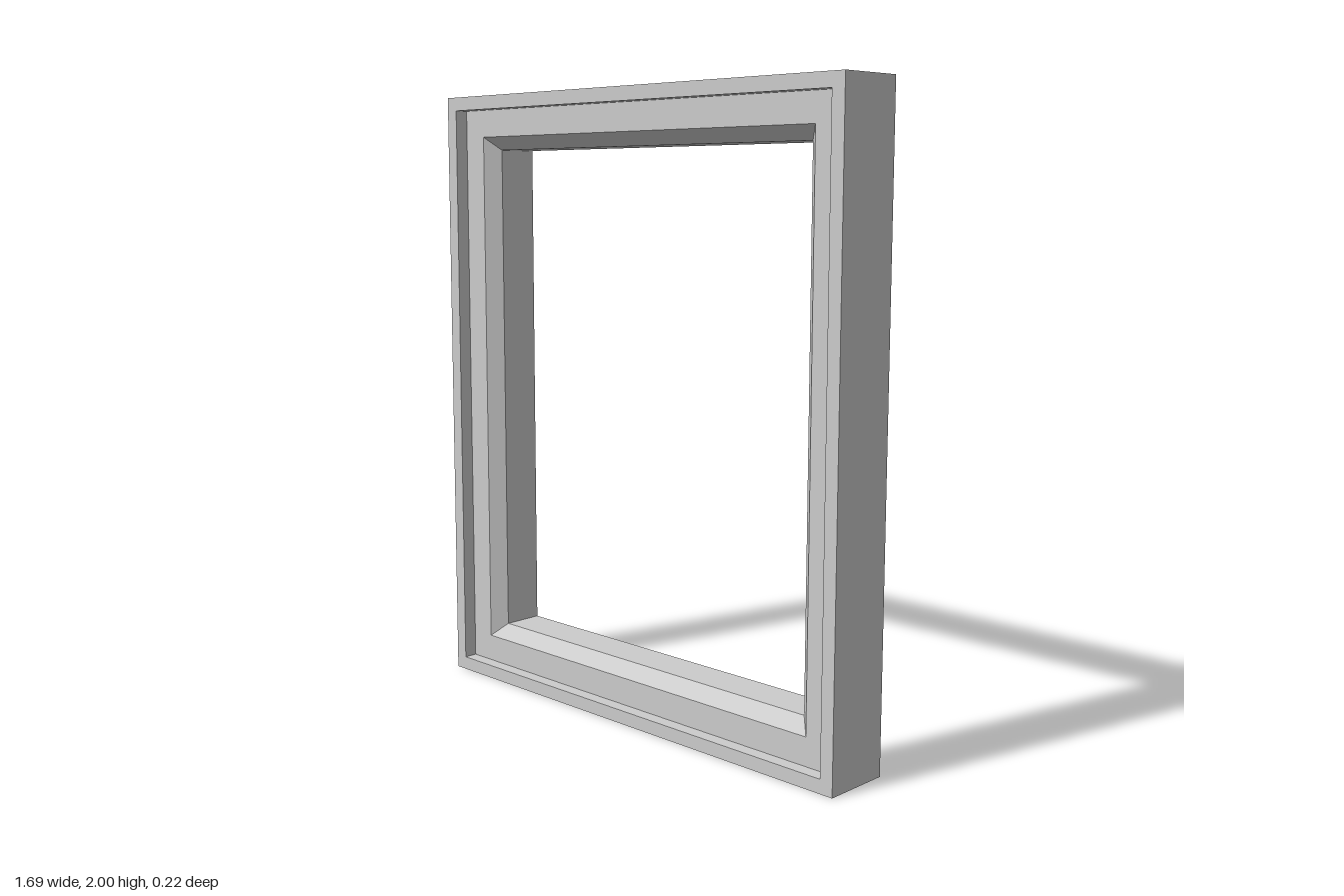
import * as THREE from 'three';

const HALF_WIDTH = 0.845, HEIGHT = 2, HALF_DEPTH = 0.112;

// Moulding cross-section as [inset from the outer edge, z], closed loop
const PROFILE = [
  [0, -HALF_DEPTH], [0, HALF_DEPTH],       // outer side
  [0.044, HALF_DEPTH], [0.044, 0.067],     // raised lip and its step
  [0.133, 0.067], [0.176, 0.023],          // flat face and inner bevel
  [0.176, -HALF_DEPTH],                    // opening wall, then the flat back
];

// Corner directions, counter-clockwise seen from the front
const CORNERS = [[-1, -1], [1, -1], [1, 1], [-1, 1]];

// Sweeps the profile round a rectangle with mitred corners
function mitredFrame(profile) {
  const point = (corner, [inset, z]) => [
    corner[0] * (HALF_WIDTH - inset),
    HEIGHT / 2 + corner[1] * (HEIGHT / 2 - inset),
    z,
  ];
  const positions = [];
  CORNERS.forEach((corner, i) => {
    const nextCorner = CORNERS[(i + 1) % 4];
    profile.forEach((p, j) => {
      const q = profile[(j + 1) % profile.length];
      const a = point(corner, p), b = point(nextCorner, p);
      const c = point(nextCorner, q), d = point(corner, q);
      positions.push(...a, ...b, ...c, ...a, ...c, ...d);
    });
  });
  const geometry = new THREE.BufferGeometry();
  geometry.setAttribute('position', new THREE.Float32BufferAttribute(positions, 3));
  geometry.computeVertexNormals();
  return geometry;
}

export function createModel() {
  const group = new THREE.Group();
  group.name = 'pictureFrame';
  const material = new THREE.MeshStandardMaterial({ color: 0xcccccc, flatShading: true });
  const frame = new THREE.Mesh(mitredFrame(PROFILE), material);
  frame.name = 'frameMoulding';
  group.add(frame);
  return group;
}
